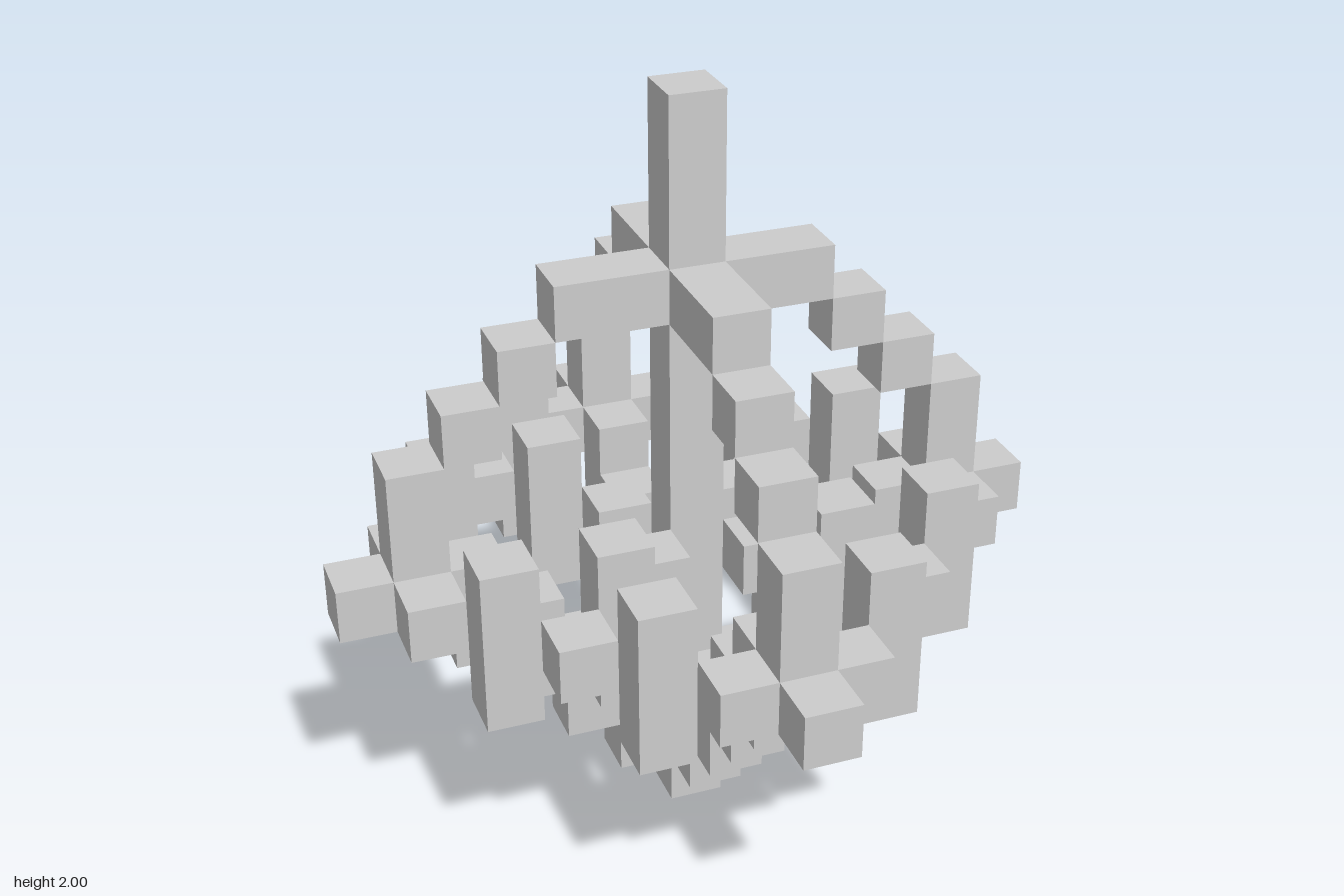
import * as THREE from 'three';

const U = 2 / 14; // edge of one cube
const material = new THREE.MeshStandardMaterial({ color: 0xcccccc, flatShading: true });

// Box filling whole cells: x0..x1, y0..y1, z0..z1 (inclusive cell indices)
function block(parent, name, [x0, x1], [y0, y1], [z0, z1]) {
  const size = [x1 - x0 + 1, y1 - y0 + 1, z1 - z0 + 1].map((n) => n * U);
  const mesh = new THREE.Mesh(new THREE.BoxGeometry(...size), material);
  mesh.position.set((x0 + x1) / 2 * U, (y0 + y1 + 1) / 2 * U, (z0 + z1) / 2 * U);
  mesh.name = name;
  parent.add(mesh);
}

// One quarter of the frame, reaching out along +x
function createQuarter() {
  const q = new THREE.Group();

  // Stepped rib: lower steps, upright side, diagonal steps, top arm
  for (let x = 1; x <= 4; x++) block(q, 'lowerStep', [x, x], [x, x + 1], [0, 0]);
  block(q, 'sideUpright', [5, 5], [5, 7], [0, 0]);
  block(q, 'upperStep', [4, 4], [8, 8], [0, 0]);
  block(q, 'upperStep', [3, 3], [9, 9], [0, 0]);
  block(q, 'topArm', [1, 2], [10, 10], [0, 0]);
  block(q, 'outerTip', [6, 6], [5, 5], [0, 0]);

  // Horizontal ring
  for (const s of [-1, 1]) {
    block(q, 'ringCube', [5, 5], [5, 5], [s, s]);
    block(q, 'ringPost', [4, 4], [4, 6], [2 * s, 2 * s]);
  }
  block(q, 'ringCorner', [3, 3], [5, 5], [3, 3]);

  // Diagonal spoke between the stem and the ring
  block(q, 'spokeCube', [1, 1], [5, 5], [1, 1]);
  block(q, 'spokePost', [2, 2], [4, 6], [2, 2]);
  return q;
}

export function createModel() {
  const model = new THREE.Group();
  model.name = 'cubeLatticeOrnament';

  // Central stem
  block(model, 'centralStem', [0, 0], [0, 13], [0, 0]);

  // Four equal quarters around the stem
  for (let i = 0; i < 4; i++) {
    const quarter = createQuarter();
    quarter.name = 'frameQuarter' + (i + 1);
    quarter.rotation.y = i * Math.PI / 2;
    model.add(quarter);
  }
  return model;
}
